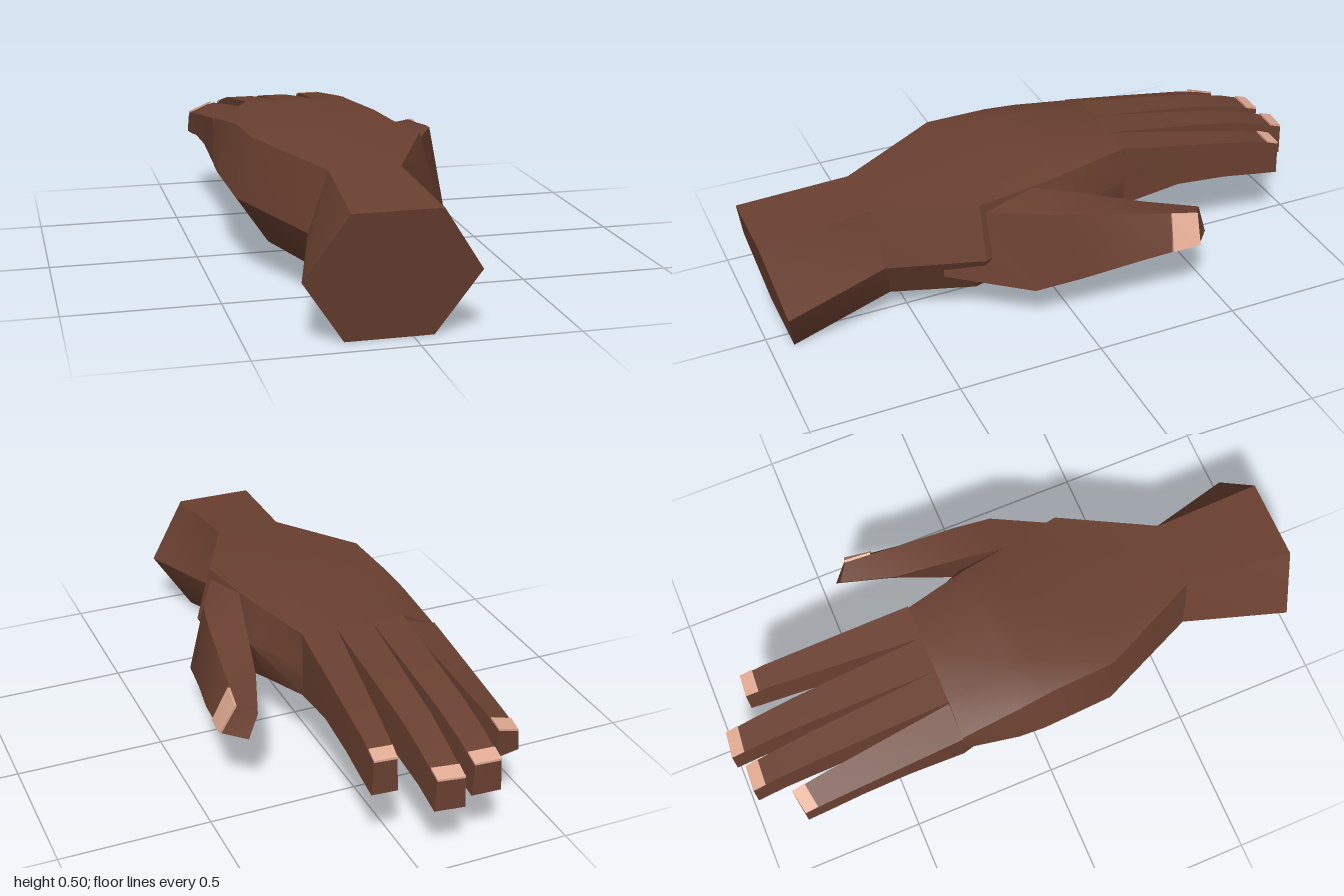
import * as THREE from 'three';
import { toCreasedNormals } from 'three/addons/utils/BufferGeometryUtils.js';

const skin = new THREE.MeshStandardMaterial({ color: 0x6a4030 });
skin.name = 'brown skin';
const nailColor = new THREE.MeshStandardMaterial({ color: 0xe0aa92 });
nailColor.name = 'pale nail';

// Closed skin over matching cross-sections running from the wrist to the tips
function loft(name, sections, material) {
  const pos = [];
  const tri = (a, b, c) => pos.push(...a, ...b, ...c);
  const n = sections[0].length;
  for (let i = 0; i < sections.length - 1; i++) {
    const s = sections[i], t = sections[i + 1];
    for (let j = 0; j < n; j++) {
      const k = (j + 1) % n;
      tri(s[j], s[k], t[k]);
      tri(s[j], t[k], t[j]);
    }
  }
  const first = sections[0], last = sections[sections.length - 1];
  for (let j = 1; j < n - 1; j++) {
    tri(first[0], first[j + 1], first[j]);
    tri(last[0], last[j], last[j + 1]);
  }
  const geo = new THREE.BufferGeometry();
  geo.setAttribute('position', new THREE.Float32BufferAttribute(pos, 3));
  const mesh = new THREE.Mesh(toCreasedNormals(geo, 0.45), material);
  mesh.name = name;
  return mesh;
}

// Piecewise linear height along z
function heightAt(points, z) {
  for (let i = 0; i < points.length - 1; i++) {
    const [z0, y0] = points[i], [z1, y1] = points[i + 1];
    if (z >= z1) return THREE.MathUtils.mapLinear(z, z0, z1, y0, y1);
  }
  return points[points.length - 1][1];
}
const fingerTop = [[-0.28, 0.475], [-0.5, 0.44], [-0.8, 0.39], [-1, 0.32]];
const fingerBottom = [[-0.28, 0.25], [-0.55, 0.295], [-0.73, 0.265], [-0.87, 0.25], [-1, 0.215]];

// Tapered finger with a thin nail at the end; dropL/dropR lower its top edges
function finger(name, base, tip, tipL, tipR, dropL = 0, dropR = 0) {
  const group = new THREE.Group();
  group.name = name;
  const section = (t) => {
    const zl = THREE.MathUtils.lerp(-0.28, tipL, t), zr = THREE.MathUtils.lerp(-0.28, tipR, t);
    const xl = THREE.MathUtils.lerp(base[0], tip[0], t), xr = THREE.MathUtils.lerp(base[1], tip[1], t);
    const inset = 0.006 * t;
    return [
      [xl + inset, heightAt(fingerTop, zl) - dropL, zl],
      [xr - inset, heightAt(fingerTop, zr) - dropR, zr],
      [xr, heightAt(fingerBottom, zr), zr],
      [xl, heightAt(fingerBottom, zl), zl],
    ];
  };
  group.add(loft(name + 'Flesh', [0, 0.35, 0.65, 0.85, 1].map(section), skin));
  const nailStart = 1 - 0.045 / (-0.28 - tipL);
  const plate = [nailStart, 1].map((t) => {
    const [l, r] = section(t);
    const up = ([x, y, z]) => [x, y + 0.007, z];
    return [up(l), up(r), r, l];
  });
  group.add(loft(name + 'Nail', plate, nailColor));
  return group;
}

export function createModel() {
  const hand = new THREE.Group();
  hand.name = 'hand';

  // Wrist and palm: four points over the back, right side, two below, left side
  hand.add(loft('palmAndWrist', [
    [[-0.21, 0.41, 1], [-0.12, 0.41, 1], [-0.02, 0.41, 1], [0.065, 0.41, 1],
      [0.2, 0.205, 0.96], [0.065, 0, 0.92], [-0.21, 0, 0.92], [-0.345, 0.205, 0.96]],
    [[-0.185, 0.44, 0.62], [-0.11, 0.44, 0.62], [-0.03, 0.44, 0.62], [0.045, 0.44, 0.62],
      [0.1, 0.24, 0.6], [0.04, 0.095, 0.57], [-0.18, 0.095, 0.57], [-0.245, 0.24, 0.6]],
    [[-0.355, 0.475, 0.27], [-0.25, 0.48, 0.3], [0.05, 0.48, 0.32], [0.2, 0.467, 0.3],
      [0.25, 0.28, 0.3], [0.15, 0.11, 0.3], [-0.3, 0.115, 0.25], [-0.405, 0.27, 0.25]],
    [[-0.365, 0.47, 0.05], [-0.25, 0.495, 0.02], [0.06, 0.495, 0.02], [0.165, 0.465, 0.1],
      [0.18, 0.3, 0.08], [0.12, 0.13, 0.12], [-0.3, 0.14, 0.1], [-0.424, 0.295, 0]],
    [[-0.375, 0.455, -0.07], [-0.25, 0.494, -0.06], [0.06, 0.494, -0.06], [0.14, 0.472, -0.05],
      [0.19, 0.35, -0.06], [0.13, 0.2, -0.05], [-0.32, 0.2, -0.05], [-0.42, 0.295, -0.09]],
    [[-0.385, 0.42, -0.28], [-0.27, 0.475, -0.28], [-0.03, 0.475, -0.28], [0.085, 0.475, -0.28],
      [0.095, 0.36, -0.28], [0.09, 0.25, -0.28], [-0.39, 0.25, -0.28], [-0.395, 0.33, -0.28]],
  ], skin));

  // Four fingers
  hand.add(
    finger('littleFinger', [-0.39, -0.27], [-0.402, -0.312], -0.84, -0.855, 0.055, 0.02),
    finger('ringFinger', [-0.27, -0.155], [-0.268, -0.168], -0.972, -0.968),
    finger('middleFinger', [-0.155, -0.03], [-0.132, -0.032], -1, -0.99),
    finger('indexFinger', [-0.03, 0.09], [0.037, 0.123], -0.885, -0.88),
  );

  // Thumb: upper inner, upper outer, lower outer, lower inner corners
  const knuckle = [[0.25, 0.36, -0.27], [0.345, 0.38, -0.22], [0.4, 0.235, -0.2], [0.3, 0.235, -0.27]];
  const tip = [[0.315, 0.33, -0.45], [0.37, 0.35, -0.41], [0.42, 0.255, -0.4], [0.35, 0.25, -0.46]];
  const thumb = new THREE.Group();
  thumb.name = 'thumb';
  thumb.add(loft('thumbFlesh', [
    [[0.09, 0.44, 0.42], [0.13, 0.435, 0.42], [0.17, 0.2, 0.42], [0.07, 0.13, 0.4]],
    [[0.165, 0.462, 0.1], [0.295, 0.435, 0.1], [0.33, 0.17, 0.16], [0.2, 0.15, 0.12]],
    [[0.2, 0.425, -0.05], [0.318, 0.415, -0.02], [0.355, 0.19, 0], [0.23, 0.19, -0.05]],
    knuckle, tip,
  ], skin));

  // Thumbnail on the outer face
  const plate = [0.52, 1].map((t) => {
    const at = (i) => knuckle[i].map((v, a) => THREE.MathUtils.lerp(v, tip[i][a], t));
    const out = ([x, y, z]) => [x + 0.008, y + 0.003, z];
    return [at(1), out(at(1)), out(at(2)), at(2)];
  });
  thumb.add(loft('thumbNail', plate, nailColor));
  hand.add(thumb);
  return hand;
}
